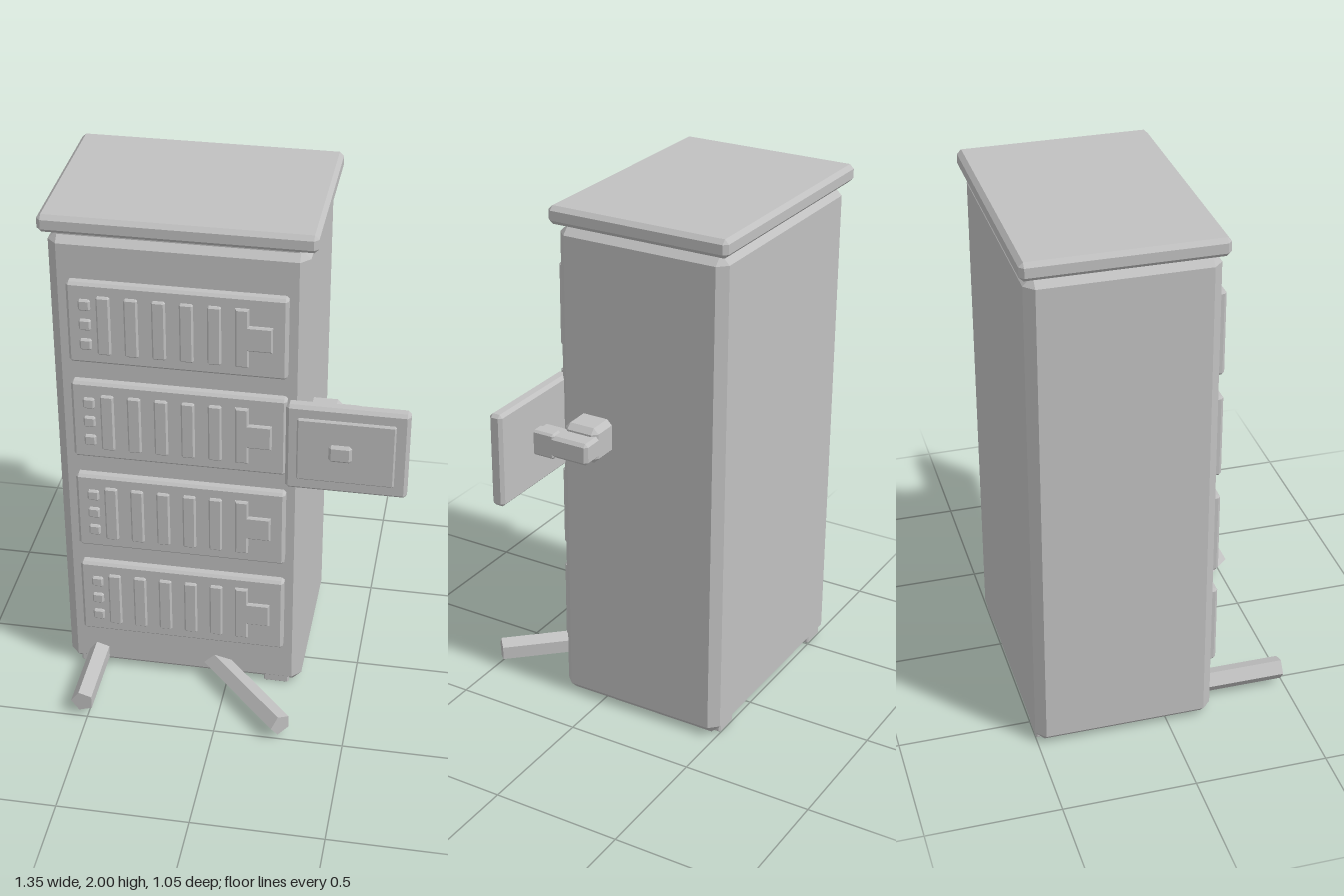
import * as THREE from 'three';
import { ConvexGeometry } from 'three/addons/geometries/ConvexGeometry.js';

const grey = new THREE.MeshStandardMaterial({ color: 0xc0c0c0 });
grey.name = 'metal grey';

// Box between two corners with every edge chamfered by c
function chamferBox(name, [x0, y0, z0], [x1, y1, z1], c) {
  const points = [];
  for (const [x, sx] of [[x0, 1], [x1, -1]])
    for (const [y, sy] of [[y0, 1], [y1, -1]])
      for (const [z, sz] of [[z0, 1], [z1, -1]]) {
        points.push(new THREE.Vector3(x, y + sy * c, z + sz * c));
        points.push(new THREE.Vector3(x + sx * c, y, z + sz * c));
        points.push(new THREE.Vector3(x + sx * c, y + sy * c, z));
      }
  const mesh = new THREE.Mesh(new ConvexGeometry(points), grey);
  mesh.name = name;
  return mesh;
}

// Raised T-shaped latch, lying on its side
function latch() {
  const b = 0.006;
  const outline = [[0.035, -0.118], [0.085, -0.118], [0.085, -0.05], [0.17, -0.05],
    [0.17, 0.05], [0.085, 0.05], [0.085, 0.118], [0.035, 0.118]];
  const shape = new THREE.Shape(outline.map(([x, y]) => new THREE.Vector2(x, y)));
  const geometry = new THREE.ExtrudeGeometry(shape, {
    depth: 0.014, bevelEnabled: true, bevelSegments: 1, bevelSize: b, bevelThickness: b, bevelOffset: -b,
  });
  const mesh = new THREE.Mesh(geometry, grey);
  mesh.name = 'latch';
  mesh.position.z = 0.202;
  return mesh;
}

// Front panel with three buttons, five vent bars and a latch
function panel(y) {
  const g = new THREE.Group();
  g.name = 'frontPanel';
  g.add(chamferBox('panelPlate', [-0.575, -0.163, 0.16], [0.222, 0.163, 0.21], 0.01));
  for (const by of [-0.08, 0, 0.08])
    g.add(chamferBox('button', [-0.53, by - 0.022, 0.195], [-0.486, by + 0.022, 0.222], 0.006));
  for (let i = 0; i < 5; i++) {
    const x = -0.44 + i * 0.1;
    g.add(chamferBox('ventBar', [x - 0.025, -0.118, 0.195], [x + 0.025, 0.118, 0.222], 0.006));
  }
  g.add(latch());
  g.position.y = y;
  return g;
}

// Five-sided leg reaching forward from the cabinet, turned by angle
function leg(name, x, z, angle, length) {
  const geometry = new THREE.CylinderGeometry(0.045, 0.045, length, 5, 1, false, -Math.PI / 2)
    .toNonIndexed();
  geometry.rotateX(Math.PI / 2);
  geometry.translate(0, 0, -length / 2);
  geometry.computeVertexNormals();
  const mesh = new THREE.Mesh(geometry, grey);
  mesh.name = name;
  mesh.position.set(x, 0.064, z);
  mesh.rotation.y = angle;
  return mesh;
}

export function createModel() {
  const model = new THREE.Group();
  model.name = 'cabinet';

  // Cabinet body and lid
  model.add(chamferBox('body', [-0.647, 0.003, -0.505], [0.29, 1.925, 0.175], 0.035));
  model.add(chamferBox('neck', [-0.62, 1.88, -0.48], [0.26, 1.95, 0.15], 0.01));
  model.add(chamferBox('lid', [-0.675, 1.932, -0.527], [0.32, 2, 0.19], 0.016));

  // Corner feet
  for (const x of [-0.6, 0.143])
    for (const z of [-0.5, 0.07])
      model.add(chamferBox('foot', [x, 0, z], [x + 0.1, 0.06, z + 0.1], 0.006));

  // Four stacked panels
  for (let i = 0; i < 4; i++) model.add(panel(0.365 + i * 0.41));

  // Side arm holding a plate
  const arm = new THREE.Group();
  arm.name = 'sideArm';
  arm.add(chamferBox('armMount', [0.27, 1.085, -0.055], [0.4, 1.222, 0.085], 0.02));
  arm.add(chamferBox('forearm', [0.375, 1.11, -0.06], [0.47, 1.195, 0.175], 0.012));
  arm.add(chamferBox('wrist', [0.415, 1.103, 0.08], [0.47, 1.202, 0.175], 0.008));
  arm.add(chamferBox('plate', [0.22, 0.975, 0.165], [0.67, 1.335, 0.217], 0.012));
  arm.add(chamferBox('plateInset', [0.262, 1.025, 0.2], [0.622, 1.287, 0.227], 0.006));
  arm.add(chamferBox('knob', [0.38, 1.12, 0.205], [0.466, 1.19, 0.24], 0.01));
  model.add(arm);

  // Legs
  model.add(leg('rightLeg', -0.52, 0.49, 0, 0.4));
  model.add(leg('leftLeg', 0.26, 0.492, 0.75, 0.5));
  return model;
}
